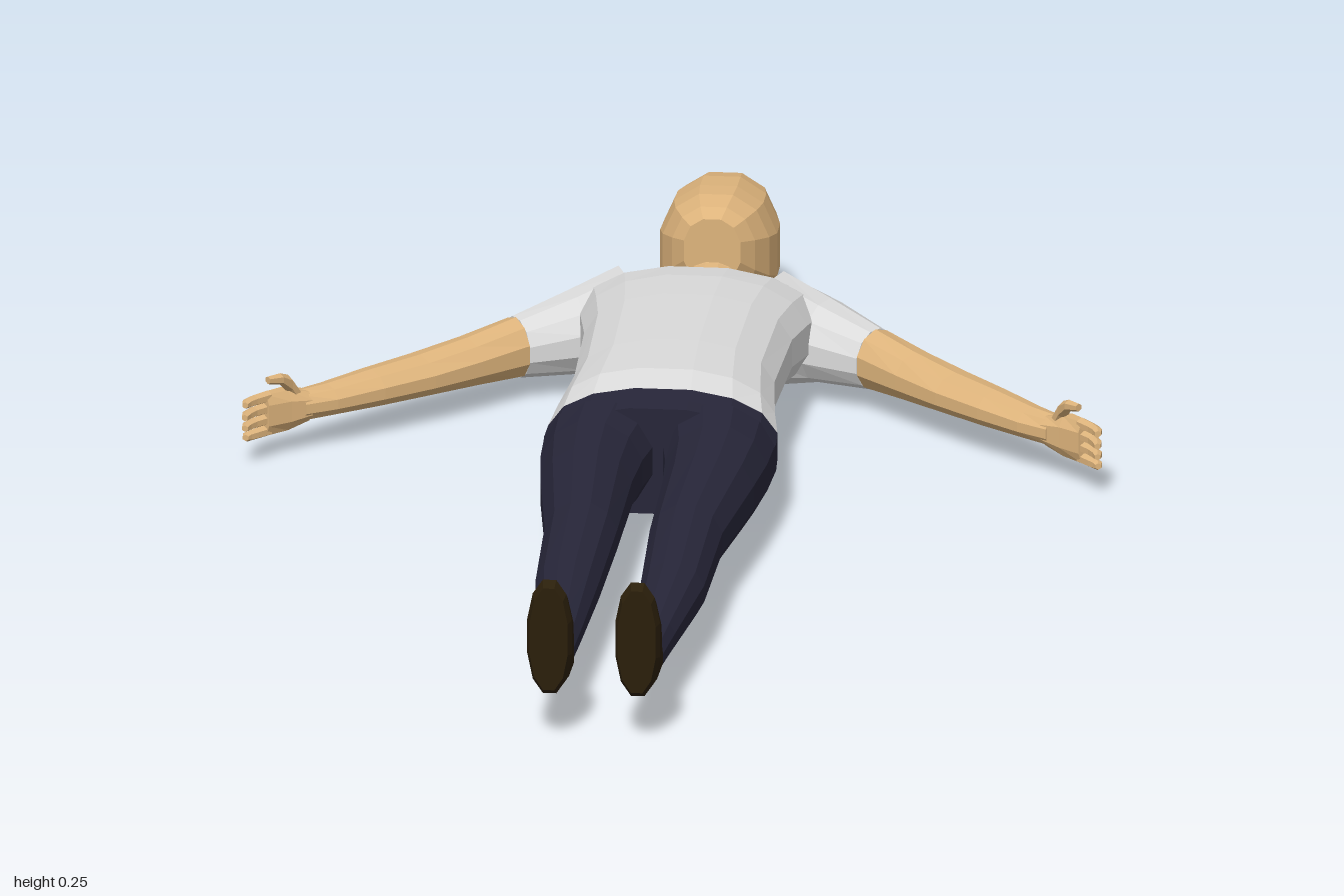
import * as THREE from 'three';

const mat = (name, color) => {
  const m = new THREE.MeshStandardMaterial({ color });
  m.name = name;
  return m;
};

// Lofts a closed, flat-faceted skin through elliptical rings.
// ring: [x, y, z, half width, half height, heading in degrees, tilt (z shift towards the top)]
function loft(rings, sides, power = 2) {
  const pos = [], index = [];
  const round = (v) => Math.sign(v) * Math.abs(v) ** (2 / power);
  for (const [x, y, z, w, h, heading = 0, tilt = 0] of rings) {
    const t = THREE.MathUtils.degToRad(heading);
    for (let j = 0; j < sides; j++) {
      const a = ((j + 0.5) / sides) * Math.PI * 2;
      const u = round(Math.cos(a)), v = round(Math.sin(a));
      pos.push(x + u * w * Math.cos(t), y + v * h, z - u * w * Math.sin(t) + v * tilt);
    }
  }
  const last = rings.length - 1;
  for (let i = 0; i < last; i++) {
    for (let j = 0; j < sides; j++) {
      const a = i * sides + j, b = i * sides + ((j + 1) % sides);
      index.push(a, b, b + sides, a, b + sides, a + sides);
    }
  }
  // end caps
  for (let j = 1; j < sides - 1; j++) {
    index.push(0, j + 1, j);
    index.push(last * sides, last * sides + j, last * sides + j + 1);
  }
  const g = new THREE.BufferGeometry();
  g.setAttribute('position', new THREE.Float32BufferAttribute(pos, 3));
  g.setIndex(index);
  const flat = g.toNonIndexed();
  flat.computeVertexNormals();
  return flat;
}

// Ring from a span: z, bottom y, top y, half width, tilt, centre x
const span = (z, y0, y1, w, tilt = 0, x = 0) => [x, (y0 + y1) / 2, z, w, (y1 - y0) / 2, 0, tilt];
// Ring of a limb from its inner and outer x
const limb = (z, y0, y1, inner, outer) => span(z, y0, y1, (outer - inner) / 2, 0, (outer + inner) / 2);

export function createModel() {
  const model = new THREE.Group();
  model.name = 'lyingPerson';
  const skin = mat('skin', 0xdeb47c);
  const shirt = mat('shirt', 0xdadada);
  const trousers = mat('trousers', 0x272639);
  const leather = mat('shoeLeather', 0x2b1f0b);

  const add = (name, material, rings, sides, power, parent = model) => {
    const mesh = new THREE.Mesh(loft(rings, sides, power), material);
    mesh.name = name;
    parent.add(mesh);
  };

  // Head, crown to chin
  add('head', skin, [
    span(-1.0, 0.085, 0.15, 0.03),
    span(-0.985, 0.055, 0.18, 0.055),
    span(-0.95, 0.022, 0.208, 0.078),
    span(-0.9, 0.006, 0.22, 0.088),
    span(-0.85, 0.008, 0.223, 0.089),
    span(-0.81, 0.03, 0.223, 0.081),
    span(-0.775, 0.065, 0.215, 0.063),
    span(-0.752, 0.1, 0.203, 0.043),
  ], 12, 2.3);

  // Neck, flaring to the slanted neckline
  const neckline = span(-0.655, 0.035, 0.158, 0.08, 0.036);
  add('neck', skin, [
    span(-0.81, 0.055, 0.15, 0.046),
    span(-0.75, 0.05, 0.135, 0.045),
    span(-0.705, 0.047, 0.128, 0.05, 0.015),
    neckline,
  ], 16, 2.1);

  // Shirt body
  const hem = span(-0.03, 0.024, 0.193, 0.172);
  add('shirtBody', shirt, [
    neckline,
    span(-0.645, 0.028, 0.164, 0.135, 0.036),
    span(-0.615, 0.012, 0.182, 0.175, 0.03),
    span(-0.565, 0, 0.2, 0.182, 0.015),
    span(-0.49, 0.015, 0.208, 0.17),
    span(-0.4, 0.034, 0.21, 0.156),
    span(-0.2, 0.045, 0.21, 0.15),
    span(-0.08, 0.036, 0.207, 0.163),
    hem,
  ], 16, 2.3);

  // Hips
  add('hips', trousers, [
    hem,
    span(0.01, 0.02, 0.19, 0.174),
    span(0.045, 0.022, 0.188, 0.172),
  ], 16, 2.3);

  for (const [side, s] of [['left', 1], ['right', -1]]) {
    const mirror = (rings) => rings.map(([x, y, z, w, h, t = 0, k = 0]) => [x * s, y, z, w, h, t * s, k]);
    const part = (name, material, rings, sides, power) =>
      add(side + name, material, mirror(rings), sides, power);

    // Trouser leg
    part('Leg', trousers, [
      limb(0.02, 0.021, 0.189, 0.001, 0.173),
      limb(0.1, 0.027, 0.185, 0.014, 0.17),
      limb(0.2, 0.038, 0.18, 0.02, 0.16),
      limb(0.4, 0.05, 0.166, 0.022, 0.133),
      limb(0.6, 0.05, 0.147, 0.029, 0.126),
      limb(0.8, 0.064, 0.132, 0.036, 0.103),
      limb(0.92, 0.074, 0.128, 0.04, 0.092),
    ], 12);

    // Shoe, toes pointing up
    part('Shoe', leather, [
      limb(0.895, 0.073, 0.13, 0.037, 0.094),
      limb(0.935, 0.068, 0.17, 0.033, 0.097),
      limb(0.962, 0.068, 0.235, 0.031, 0.099),
      limb(0.985, 0.07, 0.252, 0.031, 0.099),
      limb(1.0, 0.08, 0.243, 0.036, 0.094),
    ], 12, 2.2);

    // Sleeve and bare arm share the cuff ring
    const cuff = [0.265, 0.078, -0.513, 0.045, 0.046, 56];
    part('Sleeve', shirt, [
      [0.115, 0.1, -0.572, 0.078, 0.085, 70],
      [0.185, 0.088, -0.56, 0.07, 0.062, 66],
      cuff,
    ], 12);
    part('Arm', skin, [
      cuff,
      [0.33, 0.075, -0.452, 0.044, 0.037, 51],
      [0.395, 0.073, -0.392, 0.044, 0.031, 50],
      [0.46, 0.073, -0.33, 0.039, 0.028, 50],
      [0.52, 0.072, -0.275, 0.032, 0.024, 50],
      [0.56, 0.072, -0.24, 0.023, 0.024, 48],
    ], 10);
    part('Palm', skin, [
      [0.55, 0.072, -0.248, 0.022, 0.024, 48],
      [0.578, 0.072, -0.225, 0.019, 0.033, 46],
      [0.606, 0.072, -0.197, 0.013, 0.034, 42],
    ], 8, 2.6);

    // Four curled fingers stacked in height
    for (let i = 0; i < 4; i++) {
      const y = 0.046 + i * 0.0175;
      const reach = [0.012, 0.003, 0, 0.006][i];
      part('Finger' + (i + 1), skin, [
        [0.6, y, -0.203, 0.01, 0.009, 42],
        [0.619, y, -0.181, 0.009, 0.0085, 32],
        [0.627, y, -0.165 - reach / 2, 0.008, 0.008, 18],
        [0.629, y, -0.152 - reach, 0.005, 0.005, 8],
      ], 6);
    }
    part('Thumb', skin, [
      [0.562, 0.088, -0.238, 0.013, 0.016, 40],
      [0.572, 0.112, -0.222, 0.011, 0.014, 35],
      [0.582, 0.126, -0.202, 0.009, 0.009, 40],
      [0.598, 0.13, -0.183, 0.006, 0.006, 45],
    ], 6);
  }
  return model;
}
